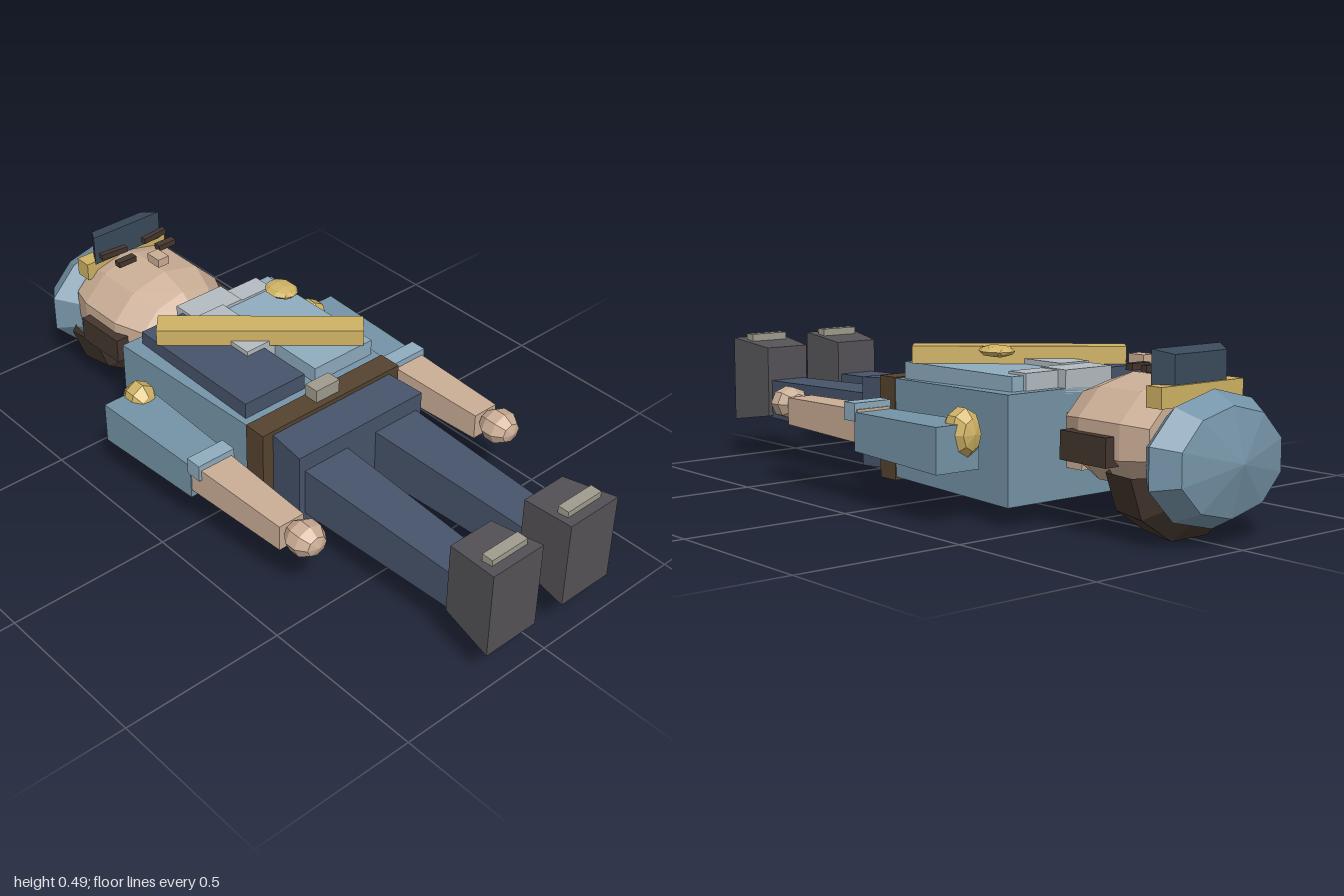
import * as THREE from 'three';

const C = {
  blue: 0x7594a8, navy: 0x47546a, dark: 0x3a4a5a, skin: 0xcbae96, gold: 0xcfb264, shoe: 0x555357,
  hair: 0x44362e, belt: 0x56432f, metal: 0xa09c8e, grey: 0xb4bcc2, panel: 0x8eacbf,
};

export function createModel() {
  const g = new THREE.Group();
  g.name = 'officerLyingDown';

  function add(name, color, geo, side = THREE.FrontSide) {
    const m = new THREE.Mesh(geo, new THREE.MeshStandardMaterial({ color, flatShading: true, side }));
    m.name = name;
    g.add(m);
    return m;
  }

  // Block along z between two rectangles [x0, x1, y0, y1, z]
  function taper(name, color, a, b) {
    const geo = new THREE.BoxGeometry(1, 1, 1);
    const p = geo.attributes.position;
    for (let i = 0; i < p.count; i++) {
      const e = p.getZ(i) < 0 ? a : b;
      p.setXYZ(i, p.getX(i) < 0 ? e[0] : e[1], p.getY(i) < 0 ? e[2] : e[3], e[4]);
    }
    return add(name, color, geo);
  }
  const box = (name, color, x0, x1, y0, y1, z0, z1) =>
    taper(name, color, [x0, x1, y0, y1, z0], [x0, x1, y0, y1, z1]);

  // Same block on both sides of the body, given for the +x side
  function pair(name, color, a, b) {
    const flip = (e) => [-e[1], -e[0], e[2], e[3], e[4]];
    taper('left' + name, color, a, b);
    taper('right' + name, color, flip(a), flip(b));
  }

  // Lathe around the z axis; profile points are [radius, distance towards -z]
  function turned(name, color, pts, y, sy, segs = 10, start = 0, len = Math.PI * 2, side) {
    const geo = new THREE.LatheGeometry(pts.map((p) => new THREE.Vector2(...p)), segs, start, len);
    geo.rotateX(-Math.PI / 2).scale(1, sy, 1).translate(0, y, 0);
    return add(name, color, geo, side);
  }

  function blob(name, color, x, y, z, rx, ry, rz) {
    const geo = new THREE.SphereGeometry(1, 8, 5).rotateX(Math.PI / 2).scale(rx, ry, rz);
    add(name, color, geo).position.set(x, y, z);
  }

  // Body
  taper('torso', C.blue, [-0.288, 0.288, 0.055, 0.355, -0.44], [-0.255, 0.255, 0.06, 0.345, 0.1]);
  box('belt', C.belt, -0.258, 0.258, 0.05, 0.348, 0.09, 0.162);
  box('buckle', C.metal, -0.043, 0.043, 0.34, 0.388, 0.095, 0.142);
  taper('hips', C.navy, [-0.22, 0.22, 0.07, 0.335, 0.15], [-0.232, 0.232, 0.065, 0.33, 0.285]);

  // Tunic front
  box('rightChestPanel', C.navy, -0.238, -0.02, 0.34, 0.395, -0.41, 0.065);
  box('leftChestPanel', C.panel, 0.02, 0.24, 0.34, 0.395, -0.4, 0.065);
  box('shirt', C.grey, -0.085, 0.085, 0.34, 0.405, -0.44, -0.34);
  box('shirtPlacket', C.grey, -0.085, 0.02, 0.34, 0.41, -0.35, -0.11);
  box('shirtFlap', C.grey, 0.085, 0.2, 0.34, 0.402, -0.41, -0.34);
  const sash = add('sash', C.gold, new THREE.BoxGeometry(0.6, 0.05, 0.08));
  sash.position.set(0.005, 0.42, -0.158);
  sash.rotation.y = -0.72;
  blob('chestBadge', C.gold, 0.17, 0.447, -0.255, 0.047, 0.018, 0.055);

  // Limbs
  pair('Sleeve', C.blue, [0.295, 0.44, 0.145, 0.272, -0.33], [0.308, 0.428, 0.158, 0.268, 0.052]);
  pair('Cuff', C.panel, [0.307, 0.432, 0.243, 0.294, 0.045], [0.307, 0.432, 0.243, 0.294, 0.096]);
  pair('Forearm', C.skin, [0.315, 0.425, 0.182, 0.276, 0.04], [0.328, 0.412, 0.19, 0.27, 0.41]);
  for (const [s, side] of [[1, 'left'], [-1, 'right']]) {
    blob(side + 'Hand', C.skin, s * 0.37, 0.246, 0.465, 0.057, 0.05, 0.058);
    blob(side + 'Epaulet', C.gold, s * 0.333, 0.243, -0.305, 0.052, 0.073, 0.055);
  }
  pair('Leg', C.navy, [0.053, 0.212, 0.128, 0.278, 0.27], [0.075, 0.196, 0.142, 0.262, 0.84]);
  pair('Shoe', C.shoe, [0.063, 0.21, 0.148, 0.368, 0.832], [0.052, 0.232, 0.122, 0.39, 1]);
  pair('ToeCap', C.metal, [0.076, 0.203, 0.37, 0.404, 0.932], [0.076, 0.203, 0.37, 0.404, 0.967]);

  // Head and face
  box('neck', C.skin, -0.08, 0.08, 0.14, 0.29, -0.5, -0.43);
  turned('head', C.skin, [[0, 0.46], [0.1, 0.465], [0.165, 0.52], [0.207, 0.61], [0.207, 0.76], [0.18, 0.84], [0, 0.85]], 0.26, 0.73);
  pair('Sideburn', C.hair, [0.18, 0.226, 0.195, 0.273, -0.742], [0.18, 0.222, 0.195, 0.273, -0.568]);
  pair('Eye', C.hair, [0.044, 0.108, 0.43, 0.448, -0.714], [0.044, 0.108, 0.43, 0.448, -0.69]);
  box('nose', C.skin, -0.02, 0.02, 0.433, 0.46, -0.665, -0.61);
  for (const s of [1, -1]) {
    const brow = add(s > 0 ? 'leftBrow' : 'rightBrow', C.hair, new THREE.BoxGeometry(0.09, 0.018, 0.018));
    brow.position.set(s * 0.078, 0.441, -0.764);
    brow.rotation.y = s * 0.1;
  }

  // Hair wraps only the back half of the head
  turned('hair', C.hair, [[0.08, 0.64], [0.2, 0.715], [0.216, 0.82], [0.155, 0.87], [0, 0.87]],
    0.18, 0.88, 5, Math.PI / 2, Math.PI, THREE.DoubleSide);

  // Cap
  turned('cap', C.blue, [[0, 0.82], [0.18, 0.83], [0.24, 0.895], [0.192, 0.962], [0, 1]], 0.215, 0.745);
  box('capBand', C.gold, -0.15, 0.15, 0.35, 0.405, -0.858, -0.805);
  taper('visor', C.dark, [-0.095, 0.095, 0.39, 0.482, -0.85], [-0.125, 0.125, 0.4, 0.494, -0.797]);

  return g;
}
